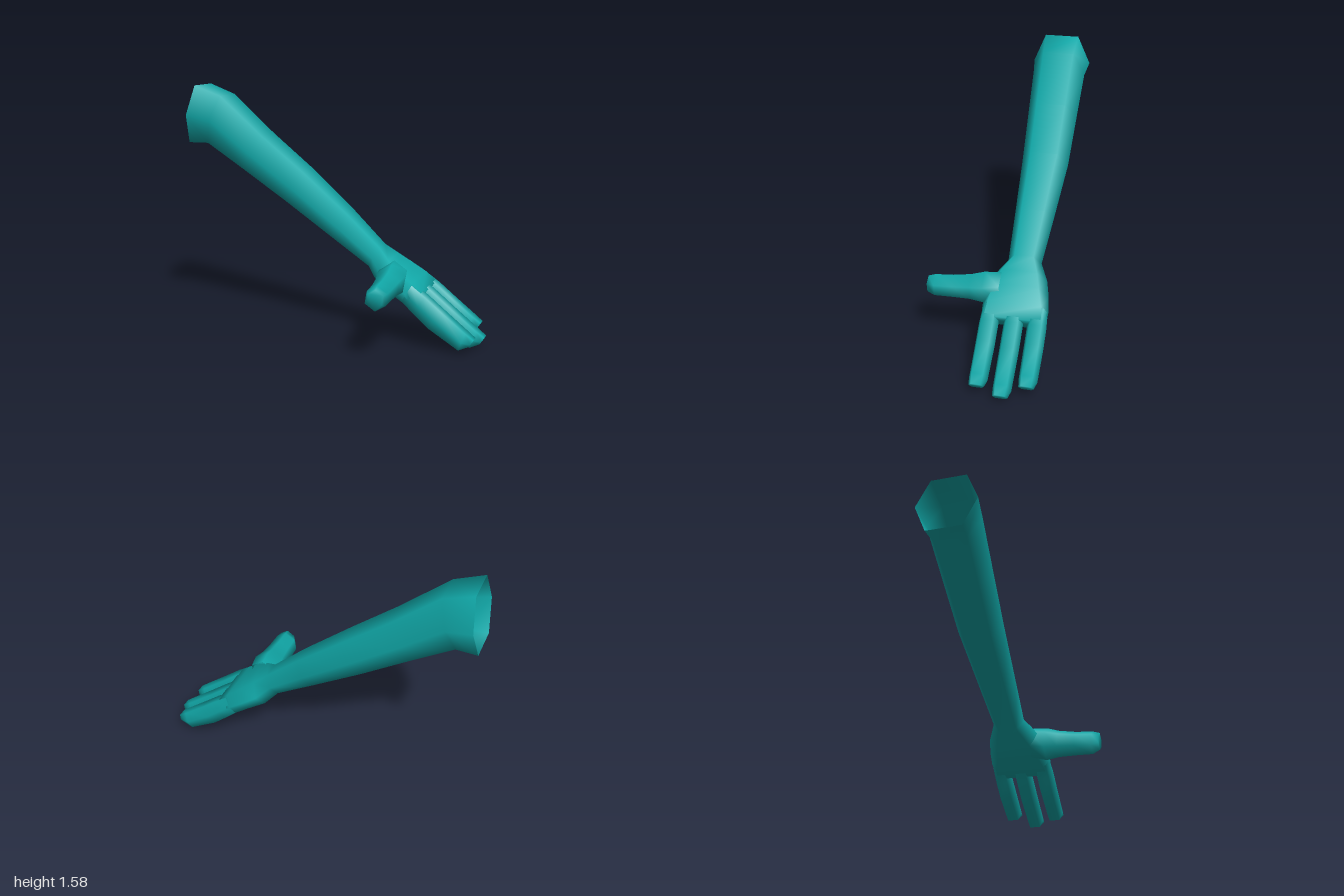
import * as THREE from 'three';

const skin = new THREE.MeshStandardMaterial({ color: 0x11a9a9, side: THREE.DoubleSide });
skin.name = 'teal';

// Six-sided ring: flat top and bottom, one corner on each side
function hexRing(center, up, side, flat) {
  return [[1, 0], [flat, 1], [-flat, 1], [-1, 0], [-flat, -1], [flat, -1]].map(([s, u]) =>
    center.clone().addScaledVector(side, s).addScaledVector(up, u));
}

// Ring given by its top and bottom points in the xy plane and its z range
function limbRing([tx, ty, bx, by, zBack, zFront, flat = 0.58]) {
  return hexRing(
    new THREE.Vector3((tx + bx) / 2, (ty + by) / 2, (zBack + zFront) / 2),
    new THREE.Vector3((tx - bx) / 2, (ty - by) / 2, 0),
    new THREE.Vector3(0, 0, (zFront - zBack) / 2), flat);
}

// Smooth skin through the rings, closed at the far end
function loft(name, rings) {
  const n = rings[0].length, index = [];
  for (let r = 0; r < rings.length - 1; r++) {
    for (let i = 0; i < n; i++) {
      const a = r * n + i, a2 = r * n + (i + 1) % n;
      index.push(a, a + n, a2, a2, a + n, a2 + n);
    }
  }
  const end = (rings.length - 1) * n;
  for (let i = 1; i < n - 1; i++) index.push(end, end + i + 1, end + i);
  const geometry = new THREE.BufferGeometry().setFromPoints(rings.flat());
  geometry.setIndex(index);
  geometry.computeVertexNormals();
  const mesh = new THREE.Mesh(geometry, skin);
  mesh.name = name;
  return mesh;
}

export function createModel() {
  const group = new THREE.Group();
  group.name = 'arm';

  // Forearm, open at the elbow, running through the wrist into the palm
  group.add(loft('forearmAndPalm', [
    [-0.95, 1.575, -1.0, 1.2, -0.375, 0.005],
    [-0.77, 1.51, -0.87, 1.2, -0.362, -0.018],
    [-0.48, 1.26, -0.62, 1.04, -0.355, -0.035],
    [-0.2, 1.04, -0.32, 0.843, -0.35, -0.055],
    [0.1, 0.79, 0.0, 0.63, -0.315, -0.07],
    [0.32, 0.59, 0.25, 0.465, -0.285, -0.08],
    [0.4, 0.53, 0.33, 0.38, -0.335, -0.005, 0.65],
    [0.48, 0.475, 0.43, 0.325, -0.36, 0.025, 0.7],
    [0.57, 0.41, 0.51, 0.285, -0.373, 0.025, 0.8],
    [0.64, 0.35, 0.57, 0.25, -0.368, 0.018, 0.88],
  ].map(limbRing)));

  // Three fingers: z centre and how much shorter each is than the middle one
  const fingers = [['frontFinger', -0.032, 0.035], ['middleFinger', -0.178, 0], ['backFinger', -0.318, 0.055]];
  for (const [name, z, short] of fingers) {
    const rings = [
      [0.57, 0.4, 0.51, 0.295, 0.052, 0],
      [0.66, 0.338, 0.585, 0.228, 0.058, 0],
      [0.78, 0.242, 0.7, 0.13, 0.058, 0.5],
      [0.95, 0.11, 0.908, 0.0, 0.055, 1],
      [1.0, 0.073, 0.97, 0.028, 0.045, 1],
    ].map(([tx, ty, bx, by, w, k]) => {
      const dx = -short * k, dy = short * k * 0.8;
      return limbRing([tx + dx, ty + dy, bx + dx, by + dy, z - w, z + w, 0.62]);
    });
    group.add(loft(name, rings));
  }

  // Thumb pointing straight out to the front: z, centre x, centre y, radius
  group.add(loft('thumb', [
    [-0.07, 0.43, 0.43, 0.09],
    [0.03, 0.442, 0.417, 0.1],
    [0.11, 0.448, 0.413, 0.082],
    [0.22, 0.453, 0.406, 0.073],
    [0.33, 0.456, 0.402, 0.07],
    [0.375, 0.463, 0.41, 0.052],
  ].map(([z, x, y, r]) => hexRing(
    new THREE.Vector3(x, y, z),
    new THREE.Vector3(0.55 * r, 0.83 * r, 0),
    new THREE.Vector3(-0.83 * r, 0.55 * r, 0), 0.55))));

  return group;
}
